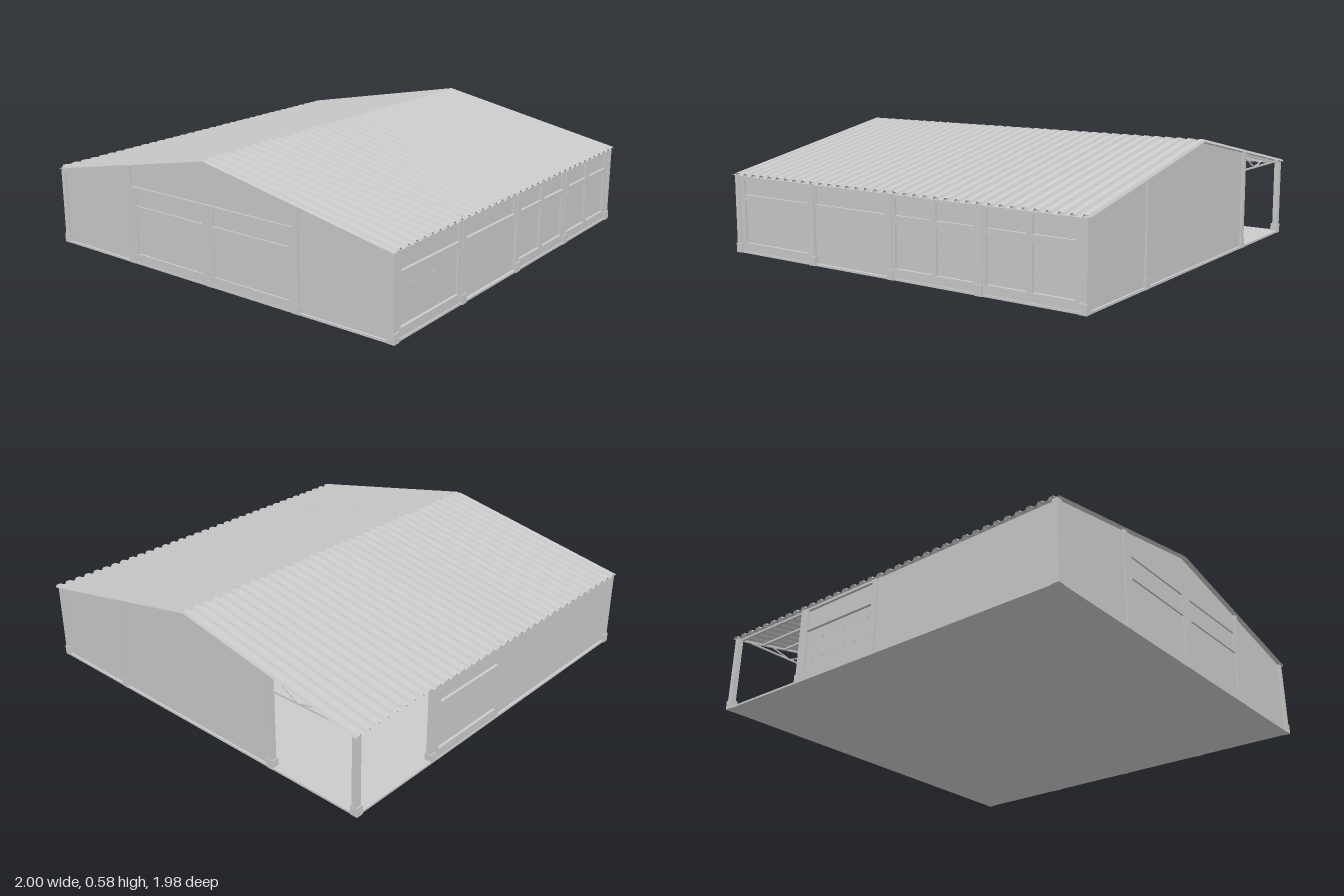
import * as THREE from 'three';

const EAVE_Y = 0.377, RIDGE_Y = 0.572, HALF = 0.99;
const roofY = (z) => RIDGE_Y - (RIDGE_Y - EAVE_Y) * Math.abs(z) / HALF;
const mat = new THREE.MeshStandardMaterial({ color: 0xcccccc });
const sheetMat = new THREE.MeshStandardMaterial({ color: 0xcccccc, side: THREE.DoubleSide, flatShading: true });

function add(parent, name, geometry, x = 0, y = 0, z = 0, material = mat) {
  const mesh = new THREE.Mesh(geometry, material);
  mesh.name = name;
  mesh.position.set(x, y, z);
  parent.add(mesh);
  return mesh;
}

function box(parent, name, w, h, d, x, y, z) {
  return add(parent, name, new THREE.BoxGeometry(w, h, d), x, y, z);
}

// Square bar between two points in the plane of a truss
function bar(parent, name, x, [z0, y0], [z1, y1], t) {
  const mesh = box(parent, name, t, t, Math.hypot(z1 - z0, y1 - y0), x, (y0 + y1) / 2, (z0 + z1) / 2);
  mesh.rotation.x = -Math.atan2(y1 - y0, z1 - z0);
}

// Corrugated sheet: trapezoid ribs running down both slopes
function roofGeometry() {
  const ribs = 36, phase = [0, 0.4, 0.52, 0.88], lift = [0, 0, 1, 1];
  const geo = new THREE.PlaneGeometry(1, 1, ribs * 4, 2);
  const p = geo.attributes.position, cols = ribs * 4 + 1;
  for (let i = 0; i < p.count; i++) {
    const c = i % cols, row = Math.floor(i / cols);
    const z = (row - 1) * HALF;
    const x = -1 + (Math.floor(c / 4) + phase[c % 4]) * 2 / ribs;
    p.setXYZ(i, x, roofY(z) + 0.012 * lift[c % 4], z);
  }
  geo.computeVertexNormals();
  return geo;
}

// Gable wall outline from z = a to z = b, following the roof slope
function gableWall(parent, name, side, a, b) {
  const s = new THREE.Shape();
  s.moveTo(a, 0);
  s.lineTo(b, 0);
  s.lineTo(b, roofY(b) - 0.003);
  if (a < 0 && b > 0) s.lineTo(0, roofY(0) - 0.003);
  s.lineTo(a, roofY(a) - 0.003);
  const geo = new THREE.ExtrudeGeometry(s, { depth: 0.012, bevelEnabled: false });
  geo.rotateY(-Math.PI / 2);
  add(parent, name, geo, side * 0.972 + 0.006, 0, 0);
}

function rectHole(x0, y0, x1, y1) {
  const h = new THREE.Path();
  h.moveTo(x0, y0);
  h.lineTo(x0, y1);
  h.lineTo(x1, y1);
  h.lineTo(x1, y0);
  h.closePath();
  return h;
}

// Framed cladding bay: raised frame, recessed fields, rows of small fixings
function claddingBay(parent, name, width, fields, lower = true) {
  const bay = new THREE.Group();
  bay.name = name;
  const w = width / 2, y0 = lower ? 0 : 0.262, m = 0.028;
  const s = new THREE.Shape();
  s.moveTo(-w, y0);
  s.lineTo(w, y0);
  s.lineTo(w, 0.374);
  s.lineTo(-w, 0.374);
  const step = (width - m) / fields;
  for (let i = 0; i < fields; i++) {
    const a = -w + m + i * step, b = a + step - m;
    s.holes.push(rectHole(a, 0.284, b, 0.362));
    if (!lower) continue;
    s.holes.push(rectHole(a, 0.05, b, 0.255));
    const dots = fields > 1 ? 3 : 6;
    for (const y of [0.11, 0.205])
      for (let k = 0; k < dots; k++)
        box(bay, 'fixing', 0.016, 0.006, 0.006, a + (b - a) * (k + 0.5) / dots, y, -0.001);
  }
  add(bay, 'frame', new THREE.ExtrudeGeometry(s, { depth: 0.014, bevelEnabled: false }), 0, 0, 0);
  box(bay, 'sheet', width, 0.374 - y0, 0.012, 0, (0.374 + y0) / 2, -0.006);
  parent.add(bay);
  return bay;
}

function column(parent, x, z, h) {
  box(parent, 'column', 0.026, h, 0.026, x, h / 2, z);
  box(parent, 'columnBase', 0.036, 0.045, 0.036, x - Math.sign(x) * 0.003, 0.0225, z);
}

export function createModel() {
  const g = new THREE.Group();
  g.name = 'shed';

  box(g, 'floorSlab', 1.976, 0.01, 1.97, 0, 0.005, 0);
  add(g, 'corrugatedRoof', roofGeometry(), 0, 0, 0, sheetMat);

  // Gable ends; the back bay of the left end stays open
  gableWall(g, 'leftGable', 1, -0.49, 0.97);
  gableWall(g, 'rightGable', -1, -0.965, 0.97);

  // Front: cladding bays beside a wide door
  claddingBay(g, 'frontBay', 0.48, 1).position.set(-0.72, 0, 0.965);
  claddingBay(g, 'doorHeader', 0.47, 1, false).position.set(-0.245, 0, 0.965);
  claddingBay(g, 'frontBay', 0.48, 2).position.set(0.235, 0, 0.965);
  claddingBay(g, 'frontBay', 0.48, 2).position.set(0.72, 0, 0.965);
  box(g, 'door', 0.455, 0.262, 0.01, -0.243, 0.131, 0.964);

  // Back: plain wall, one cladding bay, one open bay
  box(g, 'backWall', 0.97, 0.374, 0.012, -0.485, 0.187, -0.966);
  const back = claddingBay(g, 'backBay', 0.48, 1);
  back.rotation.y = Math.PI;
  back.position.set(0.24, 0, -0.968);

  // Cladding bays on the right end
  for (const z of [-0.245, 0.245]) {
    const bay = claddingBay(g, 'sideBay', 0.48, 1);
    bay.rotation.y = -Math.PI / 2;
    bay.position.set(-0.972, 0, z);
  }

  // Columns around the perimeter
  for (const x of [-0.975, 0.975]) {
    for (const z of [-0.972, 0.972]) column(g, x, z, 0.378);
    for (const z of [-0.497, 0.497]) column(g, x, z, roofY(z) - 0.002);
  }
  column(g, -0.975, 0, 0.376);
  for (const x of [-0.475, -0.005, 0.48]) column(g, x, 0.972, 0.378);
  column(g, 0.49, -0.967, 0.378);

  // Roof trusses with zigzag webs
  for (const x of [-0.955, -0.475, 0, 0.48, 0.97]) {
    const truss = new THREE.Group();
    truss.name = 'truss';
    bar(truss, 'bottomChord', x, [-0.97, 0.382], [0.97, 0.382], 0.008);
    for (const s of [-1, 1]) {
      const top = (z) => [s * z, roofY(z) - 0.008];
      const low = (z) => [s * z, 0.382];
      bar(truss, 'topChord', x, top(0.97), top(0), 0.01);
      const web = [low(0.9), top(0.78), low(0.66), top(0.5), low(0.33), top(0.16), low(0)];
      for (let i = 1; i < web.length; i++) bar(truss, 'web', x, web[i - 1], web[i], 0.006);
    }
    g.add(truss);
  }

  // Purlins under the sheets
  for (const s of [-1, 1])
    for (let i = 0; i < 8; i++) {
      const z = s * (0.03 + i * 0.133);
      box(g, 'purlin', 1.95, 0.01, 0.012, 0, roofY(z) - 0.007, z);
    }
  return g;
}
